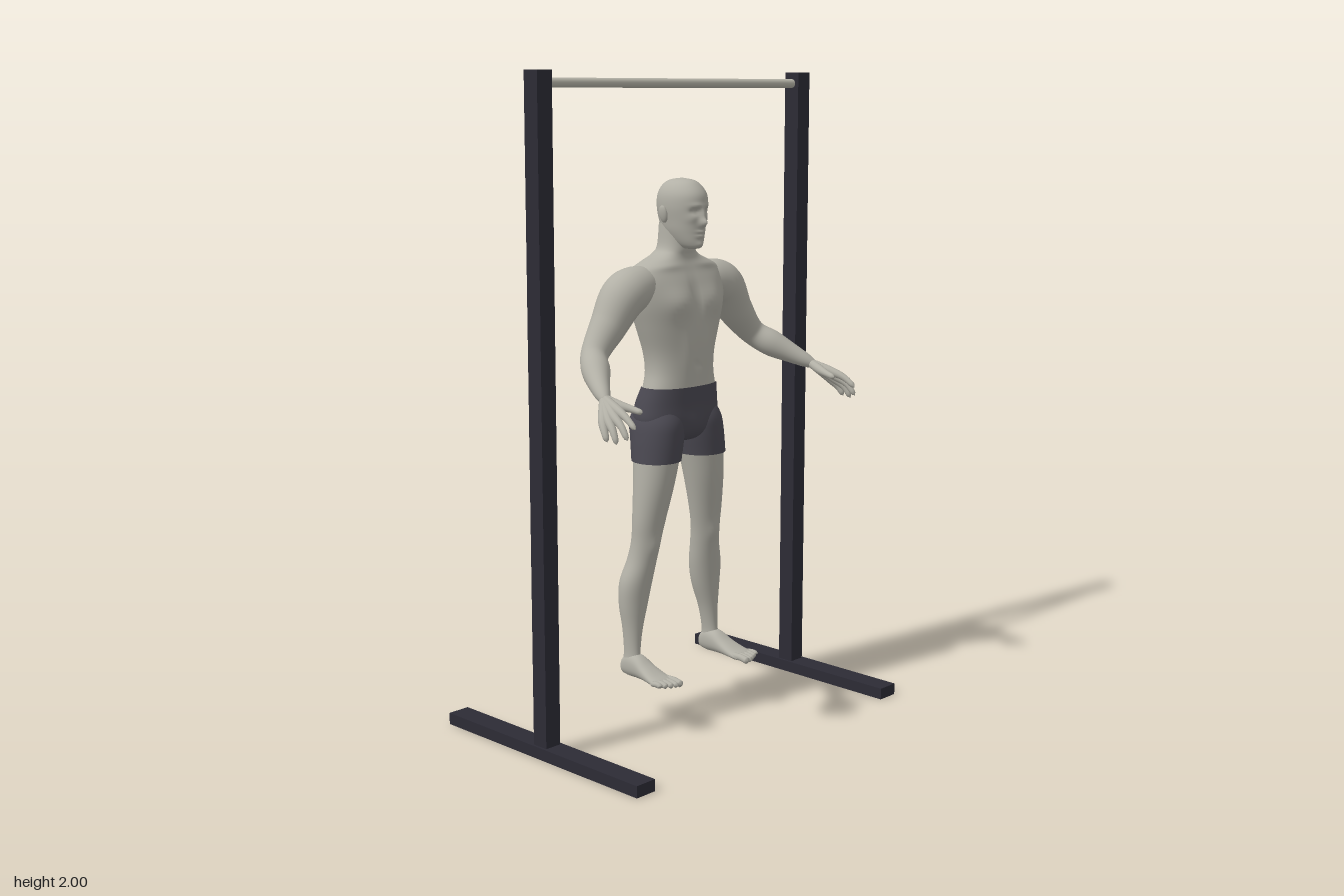
import * as THREE from 'three';
import { mergeVertices } from 'three/addons/utils/BufferGeometryUtils.js';

const material = (name, color) => {
  const m = new THREE.MeshStandardMaterial({ color });
  m.name = name;
  return m;
};

// Smooth interpolation through rows of numbers, t counted in rows
const spline = (rows) => {
  const it = new THREE.CubicInterpolant(Float32Array.from(rows.keys()), Float32Array.from(rows.flat()), rows[0].length);
  return (t) => Array.from(it.evaluate(Math.min(t, rows.length - 1)));
};

// Closed rings at [a, uMin, uMax, vMin, vMax]; a runs up y, or along z for feet
function loft(rows, { steps = 5, segs = 48, power = 2.3, alongZ = false, rule } = {}) {
  const at = spline(rows), n = (rows.length - 1) * steps, pos = [], idx = [];
  const sup = (c) => Math.sign(c) * Math.abs(c) ** (2 / power);
  for (let i = 0; i <= n; i++) {
    const [a, u0, u1, v0, v1] = at(i / steps);
    for (let j = 0; j < segs; j++) {
      const th = (j / segs) * Math.PI * 2 * (alongZ ? 1 : -1);
      const s = Math.sin(th);
      const u = (u0 + u1) / 2 + ((u1 - u0) / 2) * sup(Math.cos(th));
      const v = (v0 + v1) / 2 + ((v1 - v0) / 2) * sup(s);
      const p = alongZ ? [u, v, a] : [u, a, v];
      if (rule) p[2] += rule(u, a, s);
      pos.push(...p);
      if (i < n) {
        const k = (j + 1) % segs, b = i * segs;
        idx.push(b + j, b + k, b + segs + j, b + k, b + segs + k, b + segs + j);
      }
    }
  }
  const g = new THREE.BufferGeometry();
  g.setAttribute('position', new THREE.Float32BufferAttribute(pos, 3));
  g.setIndex(idx);
  g.computeVertexNormals();
  return g;
}

// Muscle and face relief: bumps [x, y, widthX, widthY, amount], mirrored in x
const relief = (front, back) => (x, y, s) => {
  let d = 0;
  for (const [bx, by, wx, wy, amt] of s > 0 ? front : back)
    d += amt * Math.exp(-(((Math.abs(x) - bx) / wx) ** 2) - ((y - by) / wy) ** 2);
  return d * s;
};

// Round limb through [x, y, z, radius] with a rounded tip
function limb(rows, segs = 12, steps = 24) {
  const curve = new THREE.CatmullRomCurve3(rows.map(([x, y, z]) => new THREE.Vector3(x, y, z)));
  const radius = spline(rows.map((r) => [r[3]]));
  let g = new THREE.TubeGeometry(curve, steps, 1, segs);
  const P = g.attributes.position, p = new THREE.Vector3();
  for (let i = 0; i < P.count; i++) {
    const u = Math.floor(i / (segs + 1)) / steps;
    const c = curve.getPointAt(u);
    const cap = Math.sqrt(Math.max(0.0004, 1 - Math.max(0, (u - 0.9) / 0.1) ** 2));
    const r = radius(curve.getUtoTmapping(u) * (rows.length - 1))[0] * cap;
    p.fromBufferAttribute(P, i).sub(c).multiplyScalar(r).add(c);
    P.setXYZ(i, p.x, p.y, p.z);
  }
  g.deleteAttribute('uv');
  g.deleteAttribute('normal');
  g = mergeVertices(g, 1e-5);
  g.computeVertexNormals();
  return g;
}

function mirrored(geo) {
  const g = geo.clone().scale(-1, 1, 1), ix = g.index;
  for (let i = 0; i < ix.count; i += 3) {
    const b = ix.getX(i + 1);
    ix.setX(i + 1, ix.getX(i + 2));
    ix.setX(i + 2, b);
  }
  g.computeVertexNormals();
  return g;
}

export function createModel() {
  const model = new THREE.Group();
  model.name = 'figureUnderBar';
  const skin = material('skin', 0xb2b0a6);
  const cloth = material('shorts', 0x4b4952);
  const steel = material('bar', 0xb8b6aa);
  const paint = material('frame', 0x2c2b35);
  const add = (name, geo, mat) => {
    const m = new THREE.Mesh(geo, mat);
    m.name = name;
    model.add(m);
    return m;
  };
  const pair = (name, geo, mat) => {
    add(name + 'Left', geo, mat);
    add(name + 'Right', mirrored(geo), mat);
  };
  const sym = (rows) => rows.map(([y, w, f, b]) => [y, -w, w, b, f]);

  // Frame
  pair('post', new THREE.BoxGeometry(0.055, 2, 0.055).translate(0.555, 1, 0), paint);
  pair('baseFoot', new THREE.BoxGeometry(0.072, 0.036, 0.83).translate(0.555, 0.018, 0), paint);
  add('crossbar', new THREE.CylinderGeometry(0.014, 0.014, 1.06, 24).rotateZ(Math.PI / 2).translate(0, 1.965, 0), steel);

  // Torso and neck
  add('torso', loft(sym([
    [1.045, 0.134, 0.084, -0.07], [1.1, 0.122, 0.085, -0.069], [1.16, 0.128, 0.086, -0.074],
    [1.24, 0.155, 0.088, -0.084], [1.31, 0.178, 0.084, -0.091], [1.37, 0.188, 0.072, -0.093],
    [1.41, 0.172, 0.057, -0.086], [1.435, 0.122, 0.048, -0.078], [1.455, 0.076, 0.046, -0.07],
    [1.48, 0.055, 0.05, -0.062], [1.55, 0.05, 0.05, -0.056],
  ]), {
    segs: 80,
    rule: relief(
      [[0.075, 1.315, 0.06, 0.045, 0.016], [0, 1.32, 0.016, 0.06, -0.008], [0.035, 1.17, 0.025, 0.07, 0.005],
        [0, 1.12, 0.008, 0.01, -0.006], [0.1, 1.425, 0.06, 0.012, 0.006]],
      [[0.09, 1.36, 0.05, 0.06, 0.012], [0, 1.28, 0.02, 0.13, -0.014], [0.04, 1.12, 0.025, 0.06, 0.006]]),
  }), skin);

  // Head with face relief
  add('head', loft(sym([
    [1.472, 0.002, 0.055, 0.05], [1.476, 0.022, 0.088, 0.02], [1.492, 0.037, 0.097, -0.01],
    [1.525, 0.051, 0.1, -0.045], [1.56, 0.058, 0.104, -0.06], [1.6, 0.064, 0.107, -0.066],
    [1.635, 0.062, 0.104, -0.063], [1.662, 0.049, 0.086, -0.048], [1.678, 0.029, 0.062, -0.024],
    [1.685, 0.001, 0.02, 0.018],
  ]), {
    segs: 112, steps: 8, power: 2.1,
    rule: relief(
      [[0, 1.553, 0.011, 0.013, 0.02], [0, 1.578, 0.008, 0.02, 0.009], [0.025, 1.587, 0.013, 0.009, -0.012],
        [0.025, 1.587, 0.007, 0.005, 0.006], [0.022, 1.605, 0.02, 0.007, 0.004], [0, 1.525, 0.016, 0.005, 0.007],
        [0, 1.513, 0.015, 0.005, 0.006], [0, 1.519, 0.018, 0.002, -0.005], [0, 1.487, 0.016, 0.009, 0.005],
        [0.037, 1.565, 0.014, 0.012, 0.004]], []),
  }), skin);
  pair('ear', new THREE.SphereGeometry(1, 16, 12).scale(0.008, 0.027, 0.016).rotateZ(-0.2).translate(0.066, 1.578, 0.005), skin);

  // Shorts
  add('shortsSeat', loft(sym([
    [1.055, 0.137, 0.087, -0.072], [1.0, 0.15, 0.084, -0.092], [0.95, 0.155, 0.083, -0.096],
    [0.91, 0.13, 0.074, -0.08], [0.885, 0.07, 0.05, -0.05], [0.878, 0.002, 0.005, 0],
  ]).reverse(), { segs: 72, rule: relief([[0, 0.93, 0.035, 0.04, 0.008]], [[0.07, 0.965, 0.045, 0.045, 0.009], [0, 0.95, 0.015, 0.06, -0.02]]) }), cloth);
  pair('shortsLeg', loft([
    [0.828, 0.024, 0.175, -0.069, 0.083], [0.9, 0.01, 0.168, -0.085, 0.085],
    [0.95, 0.008, 0.158, -0.098, 0.082], [1.0, 0.025, 0.13, -0.075, 0.06],
  ], { power: 2.1 }), cloth);

  // Legs
  pair('leg', loft([
    [0.19, 0.154, 0.202, -0.057, 0.012], [0.23, 0.154, 0.198, -0.054, 0.004], [0.3, 0.14, 0.202, -0.06, 0.004],
    [0.38, 0.115, 0.211, -0.074, 0.01], [0.45, 0.101, 0.21, -0.075, 0.019], [0.52, 0.093, 0.189, -0.06, 0.029],
    [0.58, 0.085, 0.181, -0.049, 0.038], [0.65, 0.07, 0.181, -0.048, 0.05], [0.75, 0.047, 0.176, -0.055, 0.068],
    [0.84, 0.027, 0.17, -0.066, 0.079],
  ], { power: 2.05, rule: relief([[0.132, 0.565, 0.025, 0.03, 0.006]], [[0.155, 0.44, 0.012, 0.06, -0.004]]) }), skin);

  // Feet and toes
  pair('foot', loft([
    [-0.063, 0.172, 0.178, 0.172, 0.185], [-0.057, 0.158, 0.196, 0.156, 0.203], [-0.03, 0.151, 0.203, 0.15, 0.225],
    [0.01, 0.147, 0.207, 0.151, 0.222], [0.05, 0.144, 0.213, 0.152, 0.2], [0.09, 0.141, 0.22, 0.151, 0.182],
    [0.12, 0.141, 0.224, 0.151, 0.173], [0.135, 0.147, 0.22, 0.154, 0.166], [0.14, 0.175, 0.185, 0.16, 0.162],
  ], { alongZ: true, segs: 32 }), skin);
  [0.166, 0.165, 0.159, 0.151, 0.14].forEach((z, i) => {
    const x = 0.152 + 0.0165 * i, r = i ? 0.0085 : 0.011;
    pair('toe' + (i + 1), limb([[x, 0.164, 0.105, r], [x, 0.165, 0.135, r], [x, 0.159, z, r]], 10, 14), skin);
  });

  // Arms
  pair('arm', limb([
    [0.1, 1.365, -0.01, 0.05], [0.165, 1.362, -0.012, 0.066], [0.215, 1.34, -0.014, 0.07], [0.28, 1.257, -0.014, 0.056],
    [0.35, 1.178, 0.0, 0.041], [0.388, 1.143, 0.047, 0.042], [0.425, 1.112, 0.1, 0.031], [0.455, 1.085, 0.15, 0.021],
    [0.468, 1.073, 0.175, 0.019],
  ], 28, 56), skin);

  // Hands: fingers run from the wrist so that their roots form the palm
  const fingers = {
    thumb: [[0.445, 1.068, 0.2], [0.432, 1.06, 0.24], [0.425, 1.053, 0.276]],
    indexFinger: [[0.474, 1.061, 0.225], [0.483, 1.045, 0.27], [0.487, 1.018, 0.31]],
    middleFinger: [[0.488, 1.047, 0.223], [0.5, 1.022, 0.268], [0.505, 0.988, 0.297]],
    ringFinger: [[0.498, 1.036, 0.213], [0.513, 1.008, 0.248], [0.519, 0.975, 0.268]],
    littleFinger: [[0.504, 1.03, 0.198], [0.519, 1.003, 0.22], [0.524, 0.978, 0.235]],
  };
  for (const [name, [root, mid, tip]] of Object.entries(fingers))
    pair(name, limb([[0.457, 1.083, 0.153, 0.014], [...root, 0.0145], [...mid, 0.0105], [...tip, 0.008]], 12, 24), skin);

  return model;
}
